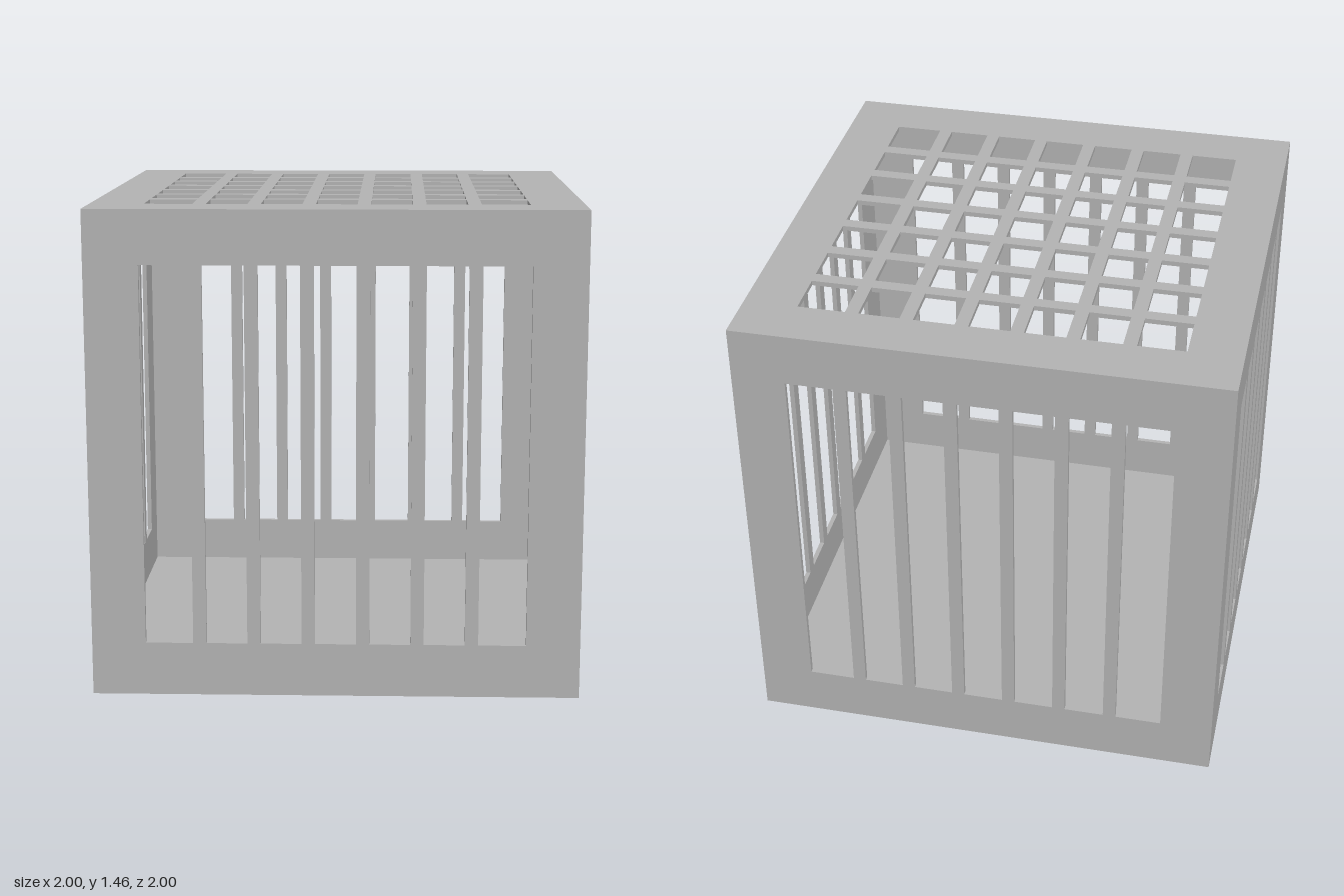
import * as THREE from 'three';

const SIZE = 1.464;     // cube edge
const WALL = 0.015;     // sheet thickness
const OPEN = 1.14;      // width of the barred opening
const BAR = 0.04;       // bar width
const COUNT = 7;        // slots per side
const PITCH = OPEN / COUNT;

// Slot limits along one axis: the opening divided by evenly spaced bars
function slots() {
  const list = [];
  for (let i = 0; i < COUNT; i++) {
    const start = -OPEN / 2 + i * PITCH;
    list.push([
      i === 0 ? start : start + BAR / 2,
      i === COUNT - 1 ? start + PITCH : start + PITCH - BAR / 2,
    ]);
  }
  return list;
}

// Flat sheet in the XY plane with rectangular cut-outs, centred on its thickness
function panel(width, height, columns, rows) {
  const shape = new THREE.Shape([
    new THREE.Vector2(-width / 2, -height / 2),
    new THREE.Vector2(width / 2, -height / 2),
    new THREE.Vector2(width / 2, height / 2),
    new THREE.Vector2(-width / 2, height / 2),
  ]);
  for (const [x0, x1] of columns) {
    for (const [y0, y1] of rows) {
      shape.holes.push(new THREE.Path([
        new THREE.Vector2(x0, y0),
        new THREE.Vector2(x0, y1),
        new THREE.Vector2(x1, y1),
        new THREE.Vector2(x1, y0),
      ]));
    }
  }
  const geometry = new THREE.ExtrudeGeometry(shape, { depth: WALL, bevelEnabled: false });
  return geometry.translate(0, 0, -WALL / 2);
}

export function createModel() {
  const model = new THREE.Group();
  model.name = 'cage';
  const grey = new THREE.MeshStandardMaterial({ color: 0xb4b4b4 });
  grey.name = 'grey metal';

  const cube = new THREE.Group();
  cube.name = 'cageBody';
  cube.rotation.y = -Math.PI / 6;
  model.add(cube);

  const add = (name, geometry) => {
    const mesh = new THREE.Mesh(geometry, grey);
    mesh.name = name;
    cube.add(mesh);
    return mesh;
  };

  const bars = slots();
  const tall = [[-OPEN / 2, OPEN / 2]];
  const inner = SIZE - 2 * WALL;
  const offset = (SIZE - WALL) / 2;

  // Solid floor
  add('floor', new THREE.BoxGeometry(SIZE, WALL, SIZE)).position.y = WALL / 2;

  // Roof grille
  const roof = add('roofGrille', panel(SIZE, SIZE, bars, bars));
  roof.rotation.x = -Math.PI / 2;
  roof.position.y = SIZE - WALL / 2;

  // Four barred walls; the side walls fit between the front and back
  ['frontWall', 'leftWall', 'backWall', 'rightWall'].forEach((name, i) => {
    const angle = i * Math.PI / 2;
    const wall = add(name, panel(i % 2 ? inner : SIZE, inner, bars, tall));
    wall.rotation.y = angle;
    wall.position.set(Math.sin(angle) * offset, SIZE / 2, Math.cos(angle) * offset);
  });

  return model;
}
